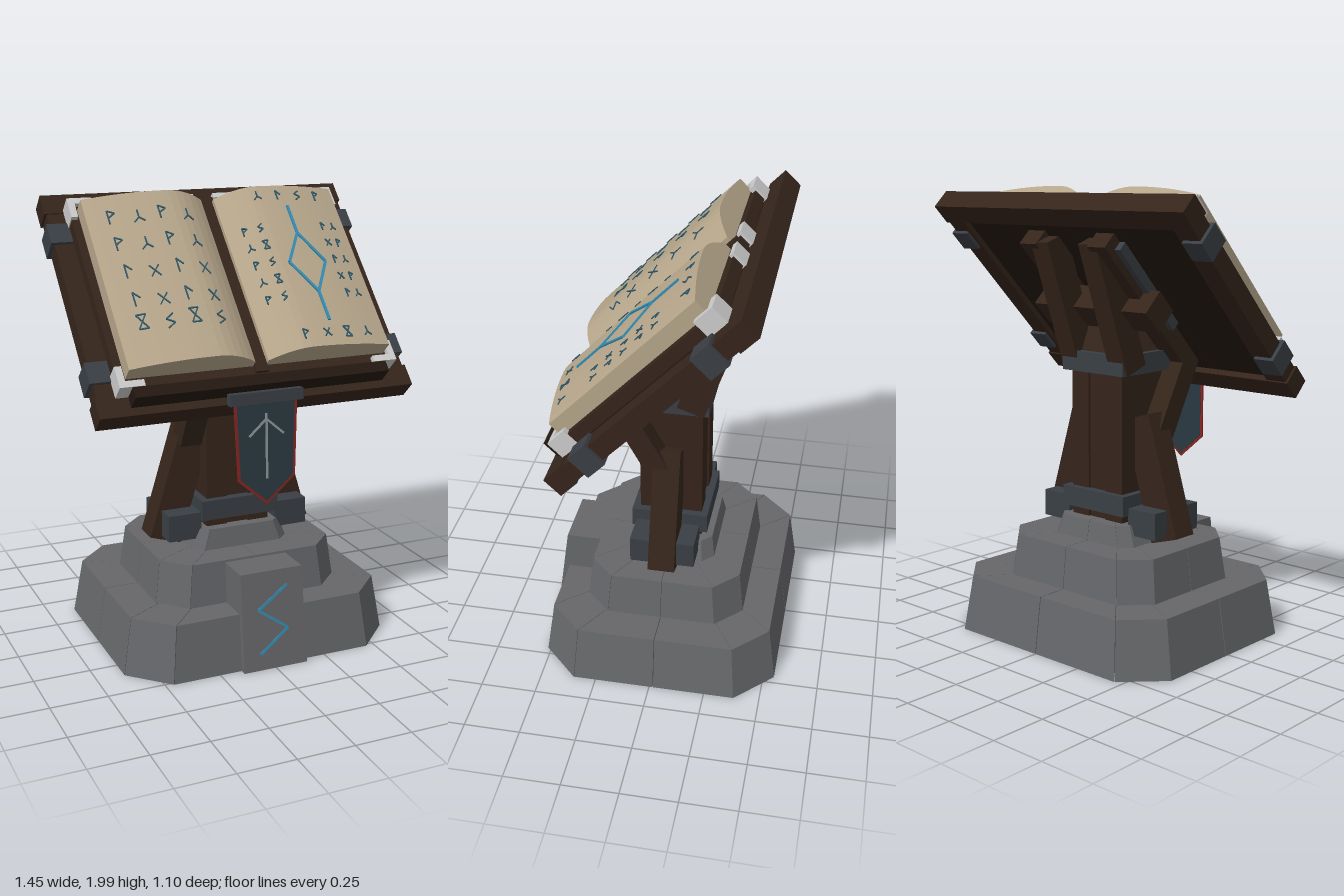
import * as THREE from 'three';
import { mergeGeometries } from 'three/addons/utils/BufferGeometryUtils.js';

const mat = (color) => new THREE.MeshStandardMaterial({ color, flatShading: true });
const WOOD = mat(0x35251b), DARK = mat(0x241811), STONE = mat(0x66676a), METAL = mat(0x3a3f45);
const PAGE = mat(0xb5a58a), PALE = mat(0xdedede), INK = mat(0x2f5666), GLOW = mat(0x338bb0);
const CLOTH = mat(0x2a3a42), RED = mat(0x8a2522), THREAD = mat(0x8c979a);

function add(parent, name, geometry, material, x = 0, y = 0, z = 0) {
  const mesh = new THREE.Mesh(geometry, material);
  mesh.name = name;
  mesh.position.set(x, y, z);
  parent.add(mesh);
  return mesh;
}

// Box given by its limits on each axis
function block(parent, name, material, [x0, x1], [y0, y1], [z0, z1]) {
  return add(parent, name, new THREE.BoxGeometry(x1 - x0, y1 - y0, z1 - z0), material,
    (x0 + x1) / 2, (y0 + y1) / 2, (z0 + z1) / 2);
}

// Straight bar from a to b, with its thickness t along the given normal and width w across it
function bar(a, b, w, t, normal) {
  const p = new THREE.Vector3(...a), q = new THREE.Vector3(...b);
  const X = q.clone().sub(p), len = X.length();
  X.normalize();
  const Z = X.clone().cross(new THREE.Vector3(...normal)).normalize();
  const m = new THREE.Matrix4().makeBasis(X, Z.clone().cross(X), Z).setPosition(p.add(q).multiplyScalar(0.5));
  return new THREE.BoxGeometry(len, t, w).applyMatrix4(m);
}

function path(points, w, t, normal) {
  return points.slice(1).map((p, i) => bar(points[i], p, w, t, normal));
}

// Closed solid between a lower and an upper loop of [x, z] points
function loft(low, high, y0, y1) {
  const pos = [], n = low.length;
  const L = low.map(([x, z]) => [x, y0, z]), H = high.map(([x, z]) => [x, y1, z]);
  for (let i = 0; i < n; i++) {
    const j = (i + 1) % n;
    pos.push(...L[i], ...L[j], ...H[j], ...L[i], ...H[j], ...H[i]);
    if (i > 0 && i < n - 1) pos.push(...H[0], ...H[i], ...H[j], ...L[0], ...L[j], ...L[i]);
  }
  const g = new THREE.BufferGeometry();
  g.setAttribute('position', new THREE.Float32BufferAttribute(pos, 3));
  g.computeVertexNormals();
  return g;
}

// Outline of a chamfered rectangle with a joint in the middle of every side
function octagon(hx, hz, c) {
  const a = hx - c, b = hz - c;
  return [[hx, 0], [hx, -b], [a, -hz], [0, -hz], [-a, -hz], [-hx, -b],
    [-hx, 0], [-hx, b], [-a, hz], [0, hz], [a, hz], [hx, b]];
}

function stoneTier(parent, y0, y1, low, high) {
  const A = octagon(...low), B = octagon(...high), stones = [];
  A.forEach((p, i) => {
    const j = (i + 1) % A.length;
    const cx = (p[0] + A[j][0]) / 3, cz = (p[1] + A[j][1]) / 3;
    const gap = ([x, z]) => [cx + (x - cx) * 0.988, cz + (z - cz) * 0.988 - 0.017];
    stones.push(loft([[0, 0], p, A[j]].map(gap), [[0, 0], B[i], B[j]].map(gap), y0, y1));
  });
  add(parent, 'stoneTier', mergeGeometries(stones), STONE);
}

function buildBase(root) {
  const base = new THREE.Group();
  base.name = 'base';
  root.add(base);
  stoneTier(base, 0, 0.25, [0.63, 0.535, 0.165], [0.588, 0.5, 0.15]);
  stoneTier(base, 0.25, 0.44, [0.435, 0.362, 0.115], [0.41, 0.34, 0.11]);
  stoneTier(base, 0.44, 0.53, [0.235, 0.205, 0.05], [0.2, 0.19, 0.045]);
  // Front slab with a glowing zigzag
  const slab = (h, z) => [[-h, z], [h, z], [h, 0.3], [-h, 0.3]];
  add(base, 'frontSlab', loft(slab(0.15, 0.546), slab(0.145, 0.484), 0, 0.43), STONE);
  const zigzag = [[0.07, 0.36], [-0.07, 0.265], [0.065, 0.17], [-0.07, 0.07]]
    .map(([x, y]) => [x, y, 0.547 - 0.144 * y]);
  add(base, 'slabRune', mergeGeometries(path(zigzag, 0.012, 0.006, [0, 0.14, 1])), GLOW);
}

function buildStand(root) {
  const stand = new THREE.Group();
  stand.name = 'stand';
  root.add(stand);
  // Post of three upright planks with two collars and a tapered head
  [-1, 0, 1].forEach((i) => {
    const d = i ? 0 : 0.01;
    block(stand, 'postPlank', WOOD, [i * 0.1 - 0.049, i * 0.1 + 0.049], [0.44, 1.28], [-0.155 + d, 0.127 - d]);
  });
  block(stand, 'lowerCollar', METAL, [-0.183, 0.183], [0.57, 0.66], [-0.185, 0.16]);
  block(stand, 'upperCollar', METAL, [-0.18, 0.18], [1.19, 1.28], [-0.185, 0.13]);
  const rect = (x, z0, z1) => [[-x, z1], [x, z1], [x, z0], [-x, z0]];
  add(stand, 'postHead', loft(rect(0.15, -0.155, 0.11), rect(0.1, -0.1, 0.06), 1.28, 1.41), WOOD);
  block(stand, 'headBlock', METAL, [-0.1, 0.1], [1.41, 1.45], [-0.06, 0.03]);
  for (const s of [-1, 1]) {
    // Leaning side leg and its clamp
    add(stand, 'sideLeg', bar([s * 0.318, 0.463, -0.01], [s * 0.155, 0.998, -0.01], 0.148, 0.12, [0, 0, 1]), WOOD);
    const x = [s * 0.335, s * 0.18].sort((a, b) => a - b);
    block(stand, 'legClamp', METAL, x, [0.485, 0.605], [-0.15, 0.14]);
    // Braces reaching forward and back to the desk
    add(stand, 'frontBrace', bar([s * 0.2, 0.92, 0.025], [s * 0.2, 1.25, 0.205], 0.1, 0.1, [0, -0.5, 0.9]), WOOD);
    add(stand, 'rearBrace', bar([s * 0.14, 1.21, -0.105], [s * 0.14, 1.78, -0.305], 0.1, 0.125, [0, 0.3, 1]), WOOD);
  }
  add(stand, 'crossBeam', bar([-0.33, 1.475, -0.12], [0.33, 1.475, -0.12], 0.125, 0.125, [0, 0.7, 0.72]), WOOD);
}

// Height of the curved page surface above the desk centre
function pageTop(x) {
  const a = Math.abs(x) - 0.22;
  return a < 0 ? 0.225 - 0.08 * (a / 0.19) ** 2 : 0.225 - 0.045 * (a / 0.38) ** 2;
}
const onPage = ([x, z]) => [x, pageTop(x) + 0.003, z];

// Small invented glyphs, each a list of strokes in a unit square
const GLYPHS = [
  [[[-0.4, -1], [-0.4, 1]], [[-0.4, -1], [0.5, -0.5], [-0.4, 0.1]]],
  [[[-0.6, -0.8], [0.6, 0.8]], [[0.6, -0.8], [-0.6, 0.8]]],
  [[[-0.6, -1], [0.6, -1], [-0.6, 1], [0.6, 1], [-0.6, -1]]],
  [[[0, -1], [0, 0.1], [-0.7, 0.8]], [[0, 0.1], [0.7, 0.7]]],
  [[[-0.2, -1], [-0.2, 1]], [[-0.2, -1], [0.6, -0.1]]],
  [[[0.5, -1], [-0.5, -0.3], [0.5, 0.3], [-0.5, 1]]],
];

function buildBook(desk) {
  const book = new THREE.Group();
  book.name = 'book';
  desk.add(book);
  block(book, 'cover', WOOD, [-0.63, 0.63], [0.055, 0.11], [-0.465, 0.465]);
  block(book, 'spine', WOOD, [-0.03, 0.03], [0.1, 0.125], [-0.46, 0.46]);
  const glyphs = [];
  const write = (x, z, size, k) => GLYPHS[k % GLYPHS.length].forEach((stroke) => {
    const pts = stroke.map(([u, v]) => onPage([x + u * size, z + v * size]));
    glyphs.push(...path(pts, 0.006, 0.004, [0, 1, 0]));
  });
  for (const s of [-1, 1]) {
    // Arched page stack
    const shape = new THREE.Shape();
    shape.moveTo(s * 0.03, 0.105);
    for (let i = 0; i <= 16; i++) {
      const x = 0.03 + (0.565 * i) / 16;
      shape.lineTo(s * x, pageTop(x));
    }
    shape.lineTo(s * 0.595, 0.105);
    const pages = new THREE.ExtrudeGeometry(shape, { depth: 0.85, bevelEnabled: false });
    add(book, 'pages', pages, PAGE, 0, 0, -0.425);
    // Corner guards and spine clips
    for (const t of [-1, 1]) {
      const guard = [new THREE.BoxGeometry(0.11, 0.085, 0.03).translate(s * 0.58, 0.09, t * 0.46),
        new THREE.BoxGeometry(0.03, 0.085, 0.1).translate(s * 0.62, 0.09, t * 0.425)];
      add(book, 'cornerGuard', mergeGeometries(guard), PALE);
    }
    add(book, 'spineClip', new THREE.BoxGeometry(0.105, 0.075, 0.025), PALE, s * 0.1, 0.085, -0.465);
  }
  // Left-hand page: rows of glyphs; right-hand page: a border of glyphs
  [-0.31, -0.17, -0.03, 0.11, 0.22].forEach((z, r) => [-0.49, -0.375, -0.265, -0.15]
    .forEach((x, c) => write(x, z + 0.015 * (c % 2), 0.034, r * 5 + c * 3 + (r % 2))));
  [0.2, 0.3, 0.4, 0.5].forEach((x, c) => [-0.37, 0.36].forEach((z, r) => write(x, z, 0.025, c + 3 * r + 3)));
  [-0.2, -0.11, -0.02, 0.07, 0.16].forEach((z, r) => [0.1, 0.165, 0.475, 0.53]
    .forEach((x, c) => write(x, z, 0.021, r * 3 + c * 5)));
  add(book, 'glyphs', mergeGeometries(glyphs), INK);
  const sign = [[0.33, -0.31], [0.33, -0.16], [0.42, -0.005], [0.33, 0.153], [0.24, -0.005], [0.33, -0.16]];
  const tail = [[0.33, 0.153], [0.33, 0.3]];
  add(book, 'diamondSign', mergeGeometries([sign, tail]
    .flatMap((p) => path(p.map(onPage), 0.012, 0.008, [0, 1, 0]))), GLOW);
}

function buildDesk(root) {
  const desk = new THREE.Group();
  desk.name = 'desk';
  desk.position.set(0, 1.533, -0.024);
  desk.rotation.x = 0.803;
  root.add(desk);
  // Planked panel inside a frame
  for (let i = 0; i < 4; i++) {
    const x = -0.61 + i * 0.305;
    block(desk, 'panelPlank', DARK, [x, x + 0.302], [-0.02, 0.04], [-0.47, 0.47]);
  }
  for (const s of [-1, 1]) {
    add(desk, 'crossRail', new THREE.BoxGeometry(1.44, 0.097, 0.1), WOOD, 0, 0, s * 0.511);
    add(desk, 'sideRail', new THREE.BoxGeometry(0.1, 0.085, 0.93), WOOD, s * 0.66, 0, 0);
    for (const t of [-1, 1])
      add(desk, 'railClamp', new THREE.BoxGeometry(0.1, 0.115, 0.1), METAL, s * 0.677, 0, t * 0.35);
    // Runners under the panel with metal straps
    add(desk, 'runner', new THREE.BoxGeometry(0.1, 0.08, 0.8), WOOD, s * 0.2, -0.06, 0);
    add(desk, 'runnerStrap', new THREE.BoxGeometry(0.03, 0.05, 0.5), METAL, s * 0.265, -0.04, -0.1);
  }
  block(desk, 'bookLedge', DARK, [-0.58, 0.58], [0.04, 0.13], [0.475, 0.525]);
  buildBook(desk);
}

function buildBanner(root) {
  const banner = new THREE.Group();
  banner.name = 'banner';
  banner.position.set(0, 1.185, 0.412);
  banner.rotation.x = -0.05;
  root.add(banner);
  add(banner, 'bannerRail', new THREE.BoxGeometry(0.335, 0.05, 0.04), METAL);
  const cloth = (k, depth) => new THREE.ExtrudeGeometry(new THREE.Shape([
    [-0.147 + k, 0], [-0.133 + k, -0.355 + k * 0.4], [0, -0.468 + k * 1.2],
    [0.133 - k, -0.355 + k * 0.4], [0.147 - k, 0]].map((p) => new THREE.Vector2(...p))),
  { depth, bevelEnabled: false }).translate(0, 0, -depth / 2);
  add(banner, 'bannerTrim', cloth(0, 0.006), RED);
  add(banner, 'bannerCloth', cloth(0.012, 0.01), CLOTH);
  const arrow = [[[0, -0.07, 0.006], [0, -0.355, 0.006]],
    [[-0.08, -0.165, 0.006], [0, -0.095, 0.006], [0.08, -0.165, 0.006]]];
  add(banner, 'bannerArrow', mergeGeometries(arrow.flatMap((p) => path(p, 0.01, 0.004, [0, 0, 1]))), THREAD);
}

export function createModel() {
  const root = new THREE.Group();
  root.name = 'lectern';
  buildBase(root);
  buildStand(root);
  buildDesk(root);
  buildBanner(root);
  return root;
}
